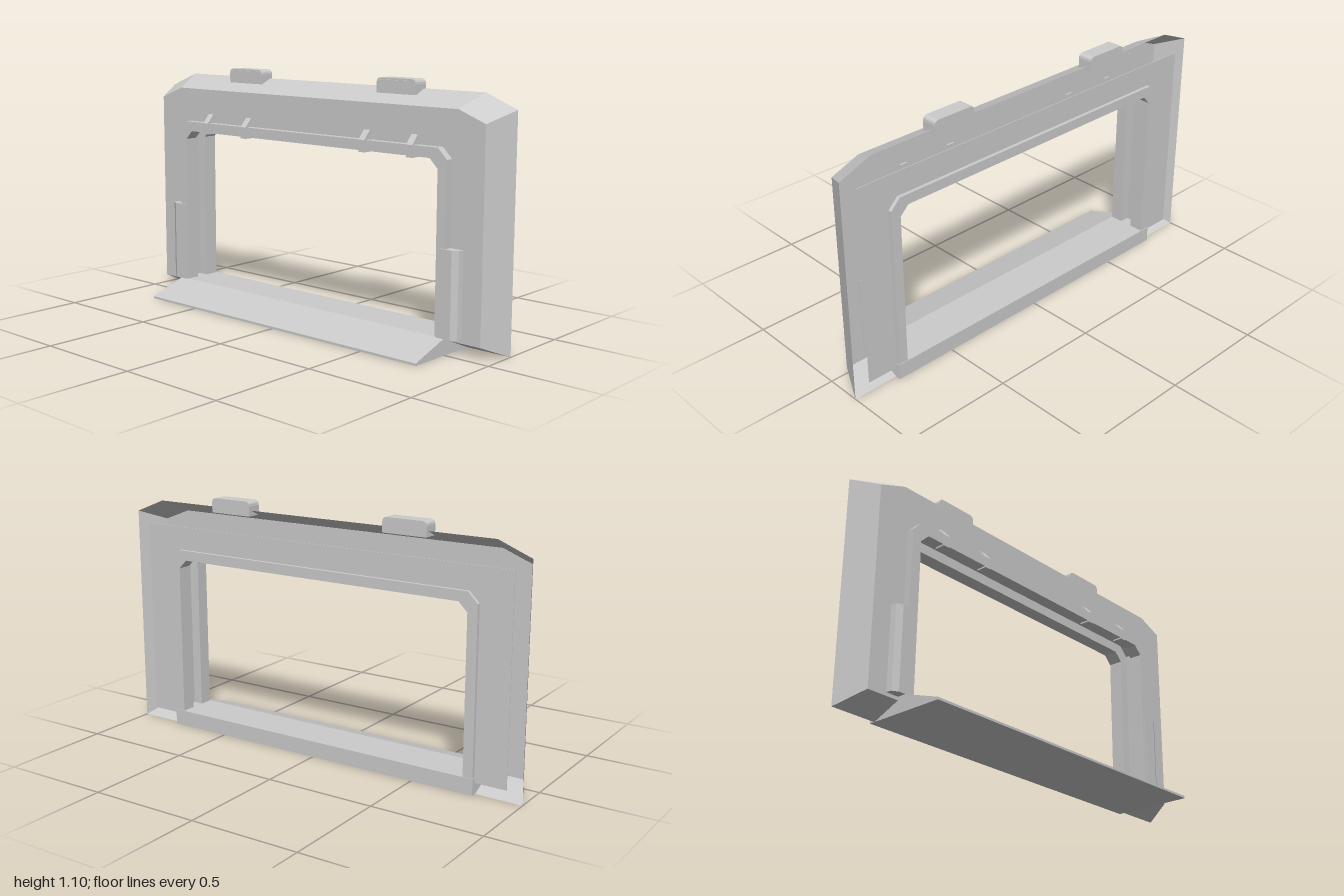
import * as THREE from 'three';

const solid = new THREE.MeshStandardMaterial({ color: 0xcccccc, flatShading: true });
const sheet = new THREE.MeshStandardMaterial({ color: 0xcccccc, flatShading: true, side: THREE.DoubleSide });
const toShape = (pts) => new THREE.Shape(pts.map(([a, b]) => new THREE.Vector2(a, b)));
const extrude = (shape, depth) => new THREE.ExtrudeGeometry(shape, { depth, bevelEnabled: false, curveSegments: 4 });

// Arch outline in (z, y): straight legs, clipped top corners
const arch = (half, top, bottom, cutZ, cutY) => [
  [-half, bottom], [-half, top - cutY], [-half + cutZ, top],
  [half - cutZ, top], [half, top - cutY], [half, bottom],
];

// U-shaped outline between two arches, open at the bottom
const uShape = (outer, inner) => toShape([...outer, ...[...inner].reverse()]);

// Outline in (z, y), given thickness from x0 to x1
function slab(shape, x0, x1) {
  return extrude(shape, x1 - x0).rotateY(Math.PI / 2).translate(x0, 0, 0);
}

// Profile in (x, y), running along z and centred on z
function alongZ(pts, length, z = 0) {
  return extrude(toShape(pts), length).translate(0, 0, z - length / 2);
}

// Strip of flat faces joining two outlines in (z, y) at different x
function flare(a, xa, b, xb) {
  const pos = [];
  for (let i = 0; i < a.length - 1; i++) {
    const p = [xa, a[i][1], a[i][0]], q = [xa, a[i + 1][1], a[i + 1][0]];
    const r = [xb, b[i + 1][1], b[i + 1][0]], s = [xb, b[i][1], b[i][0]];
    pos.push(...p, ...r, ...q, ...p, ...s, ...r);
  }
  const g = new THREE.BufferGeometry();
  g.setAttribute('position', new THREE.Float32BufferAttribute(pos, 3));
  g.computeVertexNormals();
  return g;
}

export function createModel() {
  const model = new THREE.Group();
  const add = (name, geometry, material = solid) => {
    const mesh = new THREE.Mesh(geometry, material);
    mesh.name = name;
    model.add(mesh);
  };

  const opening = arch(0.74, 0.8, 0.07, 0.04, 0.04);
  const tunnel = arch(0.785, 0.845, 0.07, 0.045, 0.045);
  const lowered = (pts, y) => pts.map(([z, v]) => [z, v === 0.07 ? y : v]);

  // Back panel and the flared rim around it
  const panel = arch(0.94, 1.0, 0.055, 0.13, 0.05);
  const lip = arch(1.0, 1.06, 0, 0.15, 0.06);
  add('backPanel', slab(uShape(panel, lowered(tunnel, 0.055)), 0.03, 0.032), sheet);
  add('flaredRim', flare(
    [[-0.785, 0.055], ...panel, [0.785, 0.055]], 0.03,
    [[-0.785, 0], ...lip, [0.785, 0]], 0.16), sheet);

  // Flat facing plate inside the rim
  const plate = [[-0.93, 0.05], [-0.93, 0.95], [0.93, 0.95], [0.93, 0.05]];
  add('facingPlate', slab(uShape(plate, lowered(tunnel, 0.05)), 0.163, 0.166), sheet);

  // Doorway: trims on both sides with a recessed lining between
  add('frontTrim', slab(uShape(tunnel, opening), 0.115, 0.182));
  add('backTrim', slab(uShape(tunnel, opening), -0.005, 0.055));
  add('tunnelLining', flare(tunnel, 0.03, tunnel, 0.165), sheet);

  // Threshold with a ramp on the back side
  add('threshold', alongZ(
    [[-0.19, 0], [0.185, 0], [0.185, 0.072], [-0.005, 0.072], [-0.19, 0.01]], 1.575));

  for (const side of [-1, 1]) {
    // Thickened lower jamb covers
    const cover = [[-0.01, 0.75], [-0.01, 0.82], [0.005, 0.845], [0.035, 0.85], [0.035, 0.75]];
    add('jambCover', extrude(toShape(cover.map(([x, z]) => [x, -side * z])), 0.37)
      .rotateX(-Math.PI / 2).translate(0, 0.07, 0));

    // Small clips over the top trim
    for (const z of [0.35, 0.6]) {
      add('clip', alongZ(
        [[-0.009, 0.793], [0.04, 0.793], [0.04, 0.885], [0.027, 0.885], [-0.009, 0.845]], 0.032, side * z));
    }

    // Rounded blocks on the top edge, with a narrow raised strip behind
    const block = new THREE.Shape();
    const h = 0.103, r = 0.022;
    block.moveTo(-h, 1.035);
    block.lineTo(-h, 1.1 - r);
    block.quadraticCurveTo(-h, 1.1, -h + r, 1.1);
    block.lineTo(h - r, 1.1);
    block.quadraticCurveTo(h, 1.1, h, 1.1 - r);
    block.lineTo(h, 1.035);
    add('topBlock', slab(block, 0.102, 0.172).translate(0, 0, side * 0.442));
    add('topBlockStrip', new THREE.BoxGeometry(0.01, 0.042, 0.17).translate(0.099, 1.071, side * 0.442));
  }
  return model;
}
